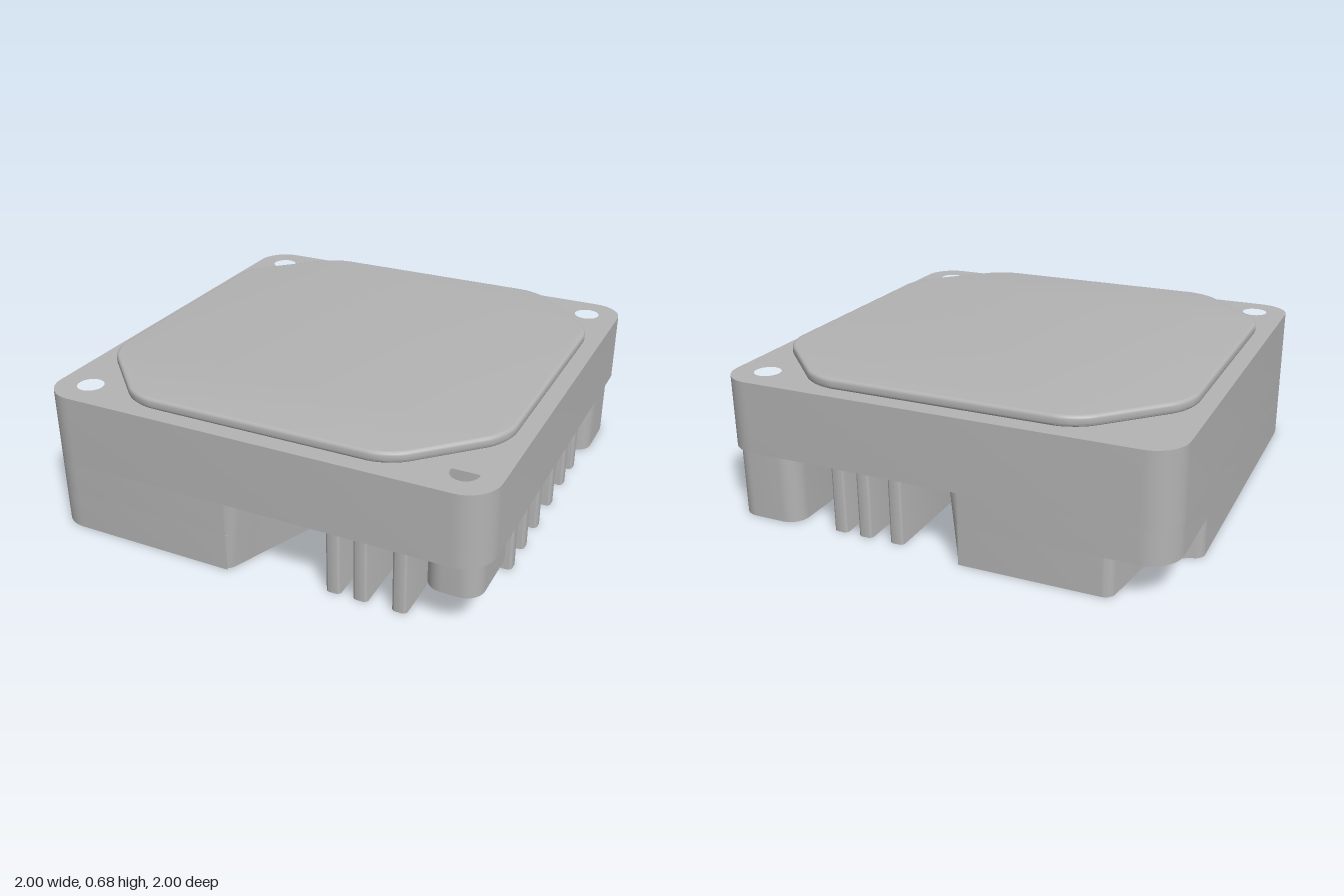
import * as THREE from 'three';
import { toCreasedNormals } from 'three/addons/utils/BufferGeometryUtils.js';

const metal = new THREE.MeshStandardMaterial({ color: 0xb3b3b3 });
metal.name = 'grey metal';

// Rounded polygon from [x, z, radius] corners, drawn in plan
function trace(path, pts) {
  const n = pts.length;
  const toward = (p, q, d) => {
    const l = Math.hypot(q[0] - p[0], q[1] - p[1]);
    return [p[0] + (q[0] - p[0]) * d / l, -(p[1] + (q[1] - p[1]) * d / l)];
  };
  pts.forEach((p, i) => {
    const prev = pts[(i + n - 1) % n], next = pts[(i + 1) % n], r = p[2] || 0;
    const a = toward(p, prev, r), b = toward(p, next, r);
    if (i === 0) path.moveTo(...a); else path.lineTo(...a);
    if (r) path.bezierCurveTo(...toward(p, prev, r * 0.45), ...toward(p, next, r * 0.45), ...b);
  });
  path.closePath();
  return path;
}

function circle(x, z, r) {
  const p = new THREE.Path();
  p.absarc(x, -z, r, 0, Math.PI * 2, true);
  return p;
}

const rect = (x0, x1, z0, z1, r) => [[x0, z0, r], [x1, z0, r], [x1, z1, r], [x0, z1, r]];

// Upright slab from a plan outline between two heights
function slab(name, pts, y0, y1, { holes = [], bevel = 0, rule } = {}) {
  const shape = trace(new THREE.Shape(), pts);
  shape.holes.push(...holes);
  let geo = new THREE.ExtrudeGeometry(shape, {
    depth: y1 - y0 - 2 * bevel, curveSegments: 10, bevelEnabled: bevel > 0,
    bevelThickness: bevel, bevelSize: bevel, bevelOffset: -bevel, bevelSegments: 3,
  });
  geo.rotateX(-Math.PI / 2).translate(0, y0 + bevel, 0);
  if (rule) {
    const pos = geo.attributes.position;
    for (let i = 0; i < pos.count; i++) pos.setX(i, rule(pos.getX(i), pos.getY(i)));
  }
  geo = toCreasedNormals(geo, 0.6);
  const mesh = new THREE.Mesh(geo, metal);
  mesh.name = name;
  return mesh;
}

export function createModel() {
  const model = new THREE.Group();
  model.name = 'finnedHousing';
  const H = 0.85, R = 0.058, MID = 0.318, STEP = 0.17;

  // Upper plate with four through holes
  const corners = [[-H, -H], [H, -H], [H, H], [-H, H]];
  model.add(slab('upperPlate', rect(-1, 1, -1, 1, 0.14), MID, 0.635,
    { holes: corners.map(([x, z]) => circle(x, z, R)) }));

  // Raised lid with cut corners
  const e = 0.93, c = 0.575, r = 0.09;
  model.add(slab('lid', [[-c, -e, r], [c, -e, r], [e, -c, r], [e, c, r],
    [c, e, r], [-c, e, r], [-e, c, r], [-e, -c, r]], 0.635, 0.682, { bevel: 0.014 }));

  // Lower block: drafted inner wall, pocket below, notch at one corner
  const wall = [[-0.08, 1, 0.04], [-0.02, 0.84, 0.06], [0.145, 0.42, 0.12],
    [0.145, -0.42, 0.12], [-0.02, -0.84, 0.06], [-0.08, -1, 0.04]];
  const draft = (x, y) => (x > -0.11 ? x - 0.03 * (1 - y / MID) : x);
  const pocket = [[-0.13, 0.42, 0.1], [-0.3, 0.88, 0.08], [-0.54, 0.88, 0.08], [-0.87, 0.5, 0.12],
    [-0.87, -0.5, 0.12], [-0.54, -0.88, 0.08], [-0.3, -0.88, 0.08], [-0.13, -0.42, 0.1]];
  model.add(slab('lowerBlockRim',
    [[-1, 1, 0.14], ...wall, [-0.76, -1, 0.04], [-0.8, -0.72, 0.04], [-0.9, -0.6, 0.05], [-1, -0.56, 0.03]],
    0, STEP, { holes: [trace(new THREE.Path(), pocket), circle(-H, H, R)], rule: draft }));
  model.add(slab('lowerBlockCore', [[-1, 1, 0.14], ...wall, [-1, -1, 0.14]], STEP, MID, {
    holes: [circle(-H, H, R), circle(-H, -H, R), circle(-0.42, 0.48, 0.045), circle(-0.42, -0.48, 0.045)],
    rule: draft,
  }));

  // Raised collars round the pocket holes
  for (const z of [-0.48, 0.48]) {
    const ring = new THREE.Mesh(new THREE.TorusGeometry(0.052, 0.012, 8, 28), metal);
    ring.rotation.x = Math.PI / 2;
    ring.position.set(-0.42, STEP, z);
    ring.name = 'pocketHoleCollar';
    model.add(ring);
  }

  // Corner posts: one full height, one short
  model.add(slab('tallPost', rect(0.67, 0.97, -0.97, -0.62, 0.08), 0, MID, { holes: [circle(H, -H, R)] }));
  model.add(slab('shortPost', rect(0.74, 0.97, 0.6, 0.97, 0.08), STEP, MID, { holes: [circle(H, H, R)] }));

  // Straight cooling fins
  const t = 0.033, tip = 0.95;
  for (const z of [-0.29, -0.09, 0.115])
    model.add(slab('sideFin', rect(0.1, tip, z - t, z + t, 0.02), 0, MID));
  for (const [x, z0, z1] of [[0.35, 0.25, tip], [0.35, -tip, -0.42], [0.2, -tip, -0.48]])
    model.add(slab('endFin', rect(x - t, x + t, z0, z1, 0.02), 0, MID));

  // Bent fins wrapping the corner posts
  for (const [x, z] of [[0.64, 0.46], [0.47, 0.295], [0.47, -0.455]]) {
    const s = Math.sign(z);
    model.add(slab('bentFin', [
      [tip, z - s * t, 0.02], [x - t, z - s * t, 0.18], [x - t, s * tip, 0.02],
      [x + t, s * tip, 0.02], [x + t, z + s * t, 0.12], [tip, z + s * t, 0.02],
    ], 0, MID));
  }
  return model;
}
